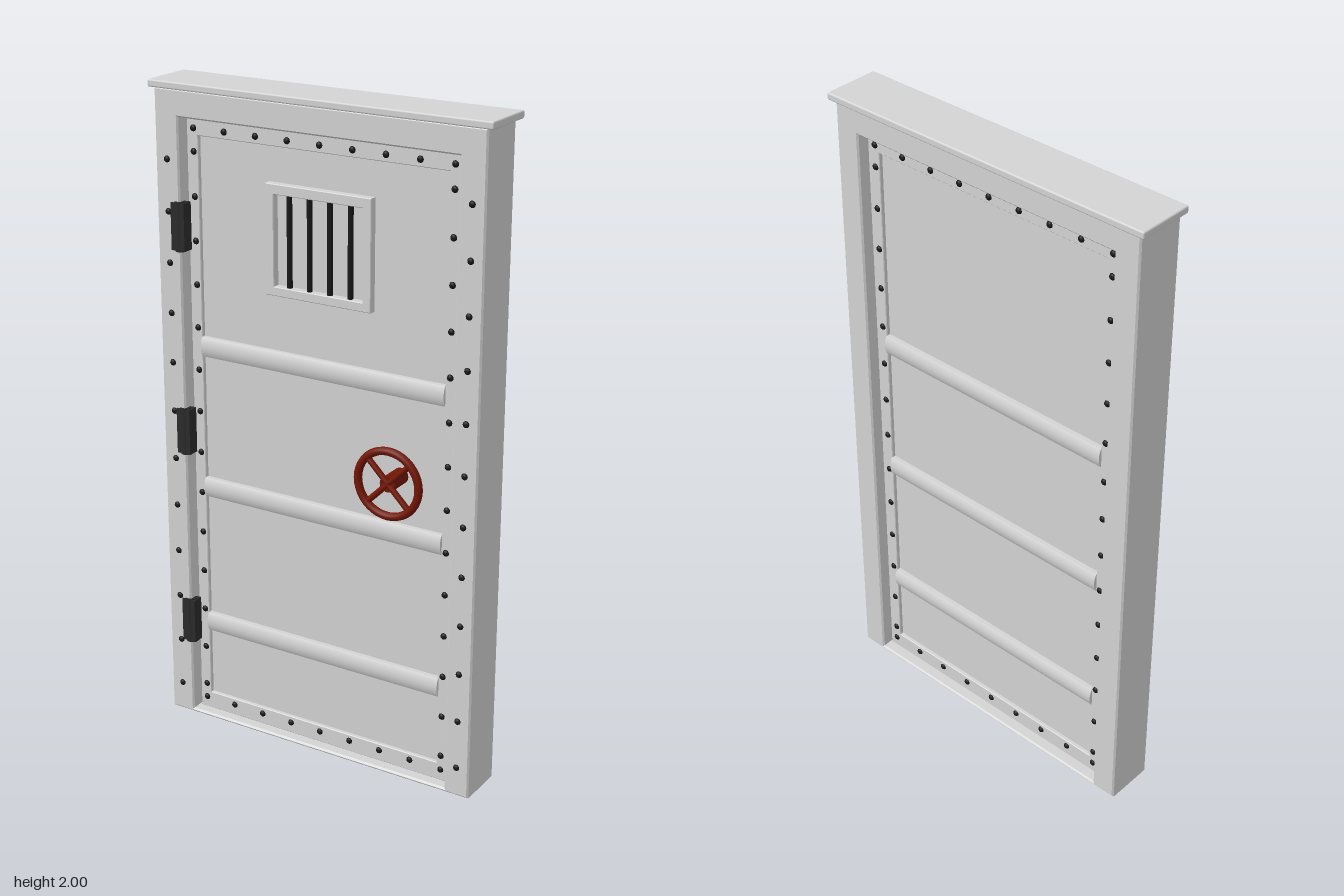
import * as THREE from 'three';
import { mergeGeometries } from 'three/addons/utils/BufferGeometryUtils.js';
import { RoundedBoxGeometry } from 'three/addons/geometries/RoundedBoxGeometry.js';

function colour(name, hex) {
  const material = new THREE.MeshStandardMaterial({ color: hex });
  material.name = name;
  return material;
}
const steel = colour('steel grey', 0xd4d4d4);
const iron = colour('dark iron', 0x2b2b2b);
const black = colour('black iron', 0x181818);
const red = colour('wheel red', 0x731605);

const FRAME_FRONT = 0.066, FRAME_BACK = -0.092;
const PANEL_FRONT = 0.02, PANEL_BACK = -0.045;
const RIM_FRONT = 0.032, RIM_BACK = -0.057;

function add(parent, name, geometry, material, x = 0, y = 0, z = 0) {
  const mesh = new THREE.Mesh(geometry, material);
  mesh.name = name;
  mesh.position.set(x, y, z);
  parent.add(mesh);
  return mesh;
}

function rectangle(path, x0, y0, x1, y1) {
  path.moveTo(x0, y0);
  path.lineTo(x1, y0);
  path.lineTo(x1, y1);
  path.lineTo(x0, y1);
  path.closePath();
  return path;
}

// Rectangular ring with softened edges, from z0 to z1
function ring(outer, inner, z0, z1, bevel) {
  const shape = rectangle(new THREE.Shape(), ...outer);
  shape.holes.push(rectangle(new THREE.Path(), ...inner));
  return new THREE.ExtrudeGeometry(shape, {
    depth: z1 - z0 - 2 * bevel, bevelEnabled: true, bevelSegments: 1,
    bevelThickness: bevel, bevelSize: bevel, bevelOffset: -bevel,
  }).translate(0, 0, z0 + bevel);
}

// Domed rivet heads at [x, y] points, merged into one geometry
function rivets(points, z) {
  return mergeGeometries(points.map(([x, y]) =>
    new THREE.SphereGeometry(0.01, 10, 8).scale(1, 1, 0.75).translate(x, y, z)));
}

// Cross rib facing +z: short straight walls under a gently arched face
function ribGeometry() {
  const length = 0.812, wall = 0.014, radius = 0.06, halfAngle = Math.PI / 6;
  const base = new THREE.BoxGeometry(length, 0.06, wall).translate(0, 0, wall / 2);
  const arch = new THREE.CylinderGeometry(radius, radius, length, 12, 1, false, -halfAngle, 2 * halfAngle)
    .rotateZ(Math.PI / 2)
    .translate(0, 0, wall - radius * Math.cos(halfAngle));
  return mergeGeometries([base, arch]);
}

export function createModel() {
  const model = new THREE.Group();
  model.name = 'steelDoor';

  // Fixed surround: jambs, lintel, low sill and overhanging cap
  const surround = new THREE.Group();
  surround.name = 'surround';
  model.add(surround);
  add(surround, 'doorFrame',
    ring([-0.53, 0, 0.53, 1.98], [-0.45, 0.012, 0.45, 1.9], FRAME_BACK, FRAME_FRONT, 0.005), steel);
  add(surround, 'topCap', new RoundedBoxGeometry(1.096, 0.022, 0.177, 2, 0.005), steel, 0, 1.989, -0.0165);

  const jambPoints = [];
  for (let i = 0; i < 12; i++) {
    for (const side of [-1, 1]) jambPoints.push([side * 0.49, 0.094 + i * 0.153]);
  }
  add(surround, 'jambRivets', rivets(jambPoints, FRAME_FRONT), black);

  // Door leaf: thin panel inside a raised rim
  const door = new THREE.Group();
  door.name = 'door';
  model.add(door);
  add(door, 'panel', new THREE.BoxGeometry(0.86, 1.84, PANEL_FRONT - PANEL_BACK), steel,
    0, 0.956, (PANEL_FRONT + PANEL_BACK) / 2);
  add(door, 'rim',
    ring([-0.443, 0.012, 0.447, 1.9], [-0.405, 0.068, 0.405, 1.847], RIM_BACK, RIM_FRONT, 0.002), steel);

  // Arched cross ribs on both faces
  const rib = ribGeometry();
  for (const y of [0.319, 0.773, 1.22]) {
    add(door, 'frontRib', rib, steel, 0, y, PANEL_FRONT);
    add(door, 'backRib', rib, steel, 0, y, PANEL_BACK).rotation.y = Math.PI;
  }

  // Rivets around the rim, front and back
  const rimPoints = [];
  for (let i = 0; i < 9; i++) {
    for (const y of [0.048, 1.868]) rimPoints.push([-0.42 + i * 0.105, y]);
  }
  for (let i = 0; i < 14; i++) {
    for (const side of [-1, 1]) rimPoints.push([side * 0.42, 0.095 + i * 0.1312]);
  }
  add(door, 'rimRivetsFront', rivets(rimPoints, RIM_FRONT), black);
  add(door, 'rimRivetsBack', rivets(rimPoints, RIM_BACK), black);

  // Barred hatch
  const hatch = new THREE.Group();
  hatch.name = 'barredHatch';
  door.add(hatch);
  add(hatch, 'hatchFrame',
    ring([-0.172, 1.42, 0.172, 1.744], [-0.145, 1.447, 0.145, 1.714], PANEL_FRONT - 0.01, 0.043, 0.002), steel);
  for (let i = 0; i < 4; i++) {
    add(hatch, 'bar', new THREE.CylinderGeometry(0.008, 0.008, 0.276, 12), black,
      -0.1 + i * 0.0665, 1.58, PANEL_FRONT + 0.009);
  }

  // Hinges bridging the gap beside the right jamb
  for (const y of [0.322, 0.952, 1.582]) {
    const hinge = new THREE.Group();
    hinge.name = 'hinge';
    hinge.position.set(-0.458, y, 0);
    model.add(hinge);
    add(hinge, 'hingeLeaf', new THREE.BoxGeometry(0.046, 0.142, 0.036), iron, 0, 0, 0.051);
    add(hinge, 'hingeBarrel', new THREE.CylinderGeometry(0.017, 0.017, 0.148, 16), iron, 0, 0, 0.0545);
  }

  // Handwheel with four diagonal spokes on a short shaft
  const wheel = new THREE.Group();
  wheel.name = 'handwheel';
  wheel.position.set(0.264, 0.95, 0.093);
  door.add(wheel);
  add(wheel, 'wheelRim', new THREE.TorusGeometry(0.098, 0.012, 12, 40), red);
  for (const turn of [1, -1]) {
    const spoke = add(wheel, 'spokePair', new THREE.CylinderGeometry(0.009, 0.009, 0.196, 12), red);
    spoke.rotation.z = turn * Math.PI / 4;
  }
  add(wheel, 'shaft', new THREE.CylinderGeometry(0.024, 0.024, 0.083, 20).rotateX(Math.PI / 2), red, 0, 0, -0.0365);
  return model;
}
